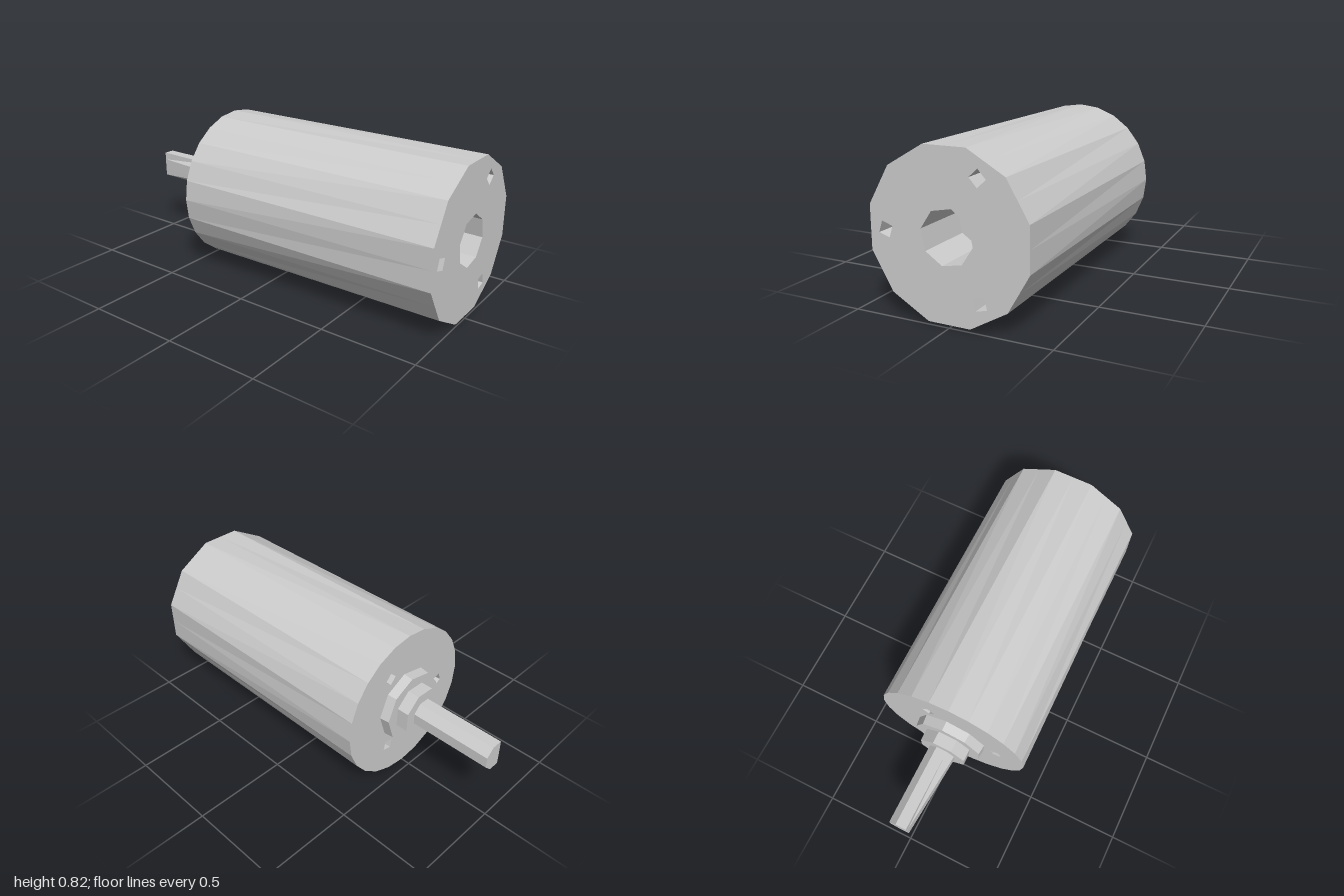
import * as THREE from 'three';
import { mergeGeometries } from 'three/addons/utils/BufferGeometryUtils.js';

const CY = 0.41; // height of the motor axis
const material = new THREE.MeshStandardMaterial({ color: 0xcccccc, flatShading: true });

// Polygon around the x direction; radius may depend on the corner index
function ring(x, radius, sides, phase = 0, z = 0, y = 0) {
  return Array.from({ length: sides }, (_, i) => {
    const a = phase + (i / sides) * Math.PI * 2;
    const r = typeof radius === 'function' ? radius(i) : radius;
    return new THREE.Vector3(x, CY + y + r * Math.sin(a), z + r * Math.cos(a));
  });
}

// Faceted wall between two rings; faces outward when x grows from a to b
function wall(a, b) {
  const pts = [];
  a.forEach((p, i) => {
    const j = (i + 1) % a.length;
    pts.push(p, b[i], b[j], p, b[j], a[j]);
  });
  const g = new THREE.BufferGeometry().setFromPoints(pts);
  g.computeVertexNormals();
  return g;
}

// Flat end facing +x (side 1) or -x (side -1), with optional holes
function cap(outline, side, holes = []) {
  const flat = (r) => r.map((p) => new THREE.Vector2(-side * p.z, p.y));
  const shape = new THREE.Shape(flat(outline));
  shape.holes = holes.map((h) => new THREE.Path(flat(h)));
  const g = new THREE.ShapeGeometry(shape).toNonIndexed();
  g.deleteAttribute('uv');
  return g.rotateY((side * Math.PI) / 2).translate(outline[0].x, 0, 0);
}

// Blind hole sunk into the end on the given side
function pocket(opening, depth, side) {
  const floor = opening.map((p) => p.clone().setX(p.x - side * depth));
  const sides = side > 0 ? wall(opening, floor) : wall(floor, opening);
  return mergeGeometries([sides, cap(floor, side)]);
}

export function createModel() {
  const group = new THREE.Group();
  const add = (name, ...geometries) => {
    const mesh = new THREE.Mesh(mergeGeometries(geometries), material);
    mesh.name = name;
    group.add(mesh);
  };

  // Body: round at the shaft end, twelve-sided at the far end
  const R = 0.41;
  const rear = ring(-0.45, R, 24);
  const front = ring(1, (i) => (i % 2 ? R : R * Math.cos(Math.PI / 12)), 24);

  // Three screw holes on each end, plus the bearing hole at the far end
  const screwHoles = (x, distance, size) => [0, 1, 2].map((k) => {
    const a = (k * Math.PI * 2) / 3;
    return ring(x, size, 4, a + 1.1, distance * Math.cos(a), distance * Math.sin(a));
  });
  const frontScrews = screwHoles(1, 0.315, 0.041);
  const rearScrews = screwHoles(-0.45, 0.25, 0.035);
  const bearing = ring(1, 0.132, 8, 0.2);

  add('body', wall(rear, front),
    cap(front, 1, [...frontScrews, bearing]), cap(rear, -1, rearScrews));
  add('bearingHole', pocket(bearing, 0.3, 1));
  add('frontScrewHoles', ...frontScrews.map((h) => pocket(h, 0.12, 1)));
  add('rearScrewHoles', ...rearScrews.map((h) => pocket(h, 0.1, -1)));

  // Stepped collars around the shaft
  const collar = (name, x0, x1, r0, r1, sides, phase) => {
    const outer = ring(x0, r0, sides, phase);
    add(name, wall(outer, ring(x1, r1, sides, phase)), cap(outer, -1));
  };
  collar('flange', -0.5, -0.45, 0.187, 0.193, 9, 0.3);
  collar('collar', -0.565, -0.5, 0.133, 0.133, 8, 0.35);

  // Shaft with a flat cut on its +z side, fading out toward the collar
  const shaftRing = (x, limit) => ring(x, 0.076, 8, Math.PI / 8)
    .map((p) => p.setZ(Math.min(p.z, limit)));
  const tip = shaftRing(-1, 0.03);
  add('shaft', wall(tip, shaftRing(-0.565, 0.068)), cap(tip, -1));

  return group;
}
